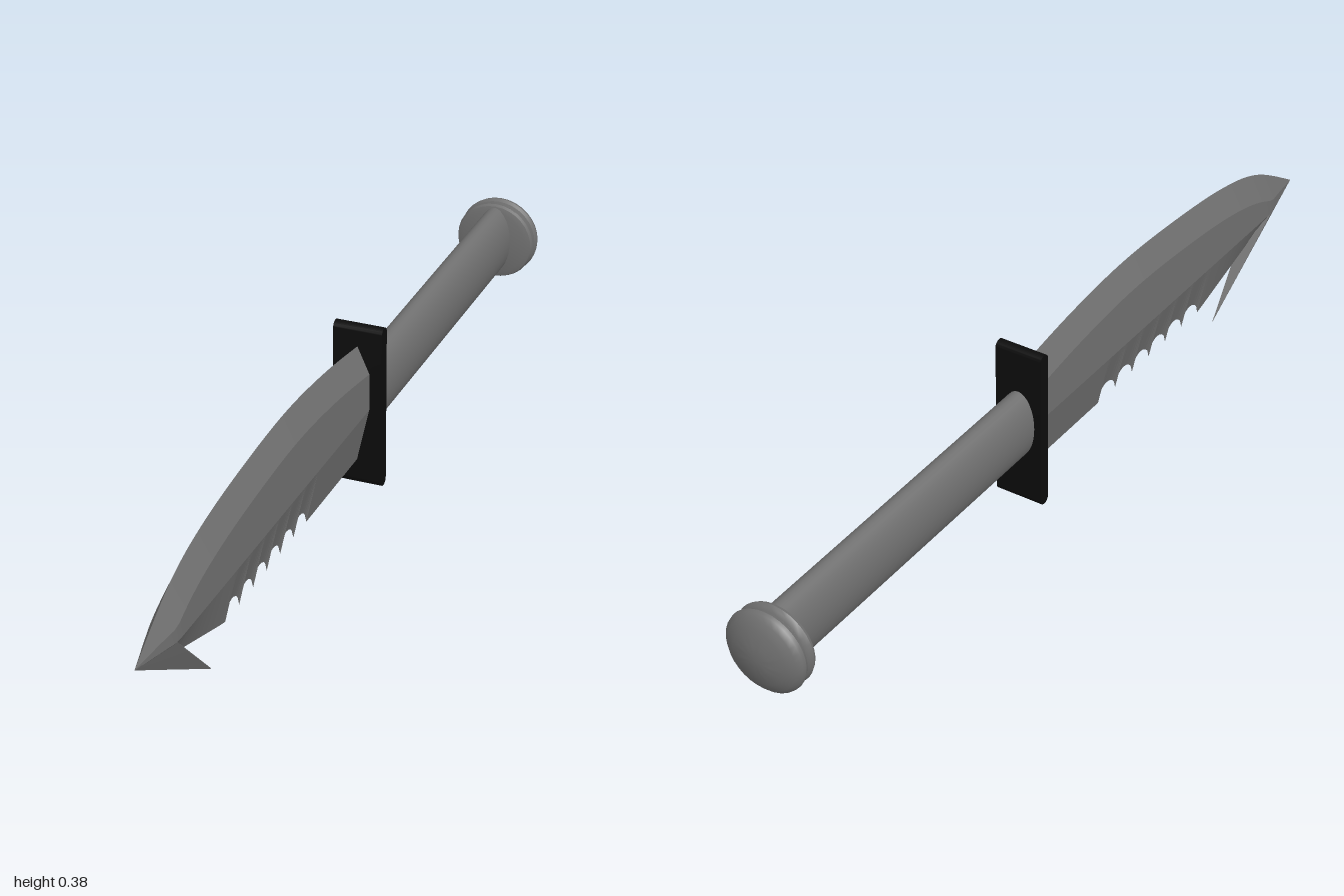
import * as THREE from 'three';
import { ConvexGeometry } from 'three/addons/geometries/ConvexGeometry.js';
import { toCreasedNormals } from 'three/addons/utils/BufferGeometryUtils.js';

const steel = new THREE.MeshStandardMaterial({ color: 0x707070 });
const black = new THREE.MeshStandardMaterial({ color: 0x0c0c0c });
const AXIS_Y = 0.197;

function addMesh(group, name, geometry, material) {
  const mesh = new THREE.Mesh(geometry, material);
  mesh.name = name;
  group.add(mesh);
  return mesh;
}

// Linear lookup of y along a list of points sorted by x
function sample(points, x) {
  for (let i = 1; i < points.length; i++) {
    const a = points[i - 1], b = points[i];
    if (x <= b.x) return a.y + (b.y - a.y) * (x - a.x) / (b.x - a.x);
  }
  return points[points.length - 1].y;
}

const toPoints = (list) => list.map(([x, y]) => new THREE.Vector2(x, y));

// Blade: six-sided cross-sections lofted along z, sharp at spine and edge
function bladeGeometry() {
  const spine = new THREE.SplineCurve(toPoints([
    [-0.1, 0.332], [0.08, 0.359], [0.27, 0.373], [0.46, 0.366],
    [0.68, 0.341], [0.84, 0.296], [1, 0.2],
  ])).getPoints(60);
  const edge = toPoints([[-0.1, 0.067], [0.6, 0.067], [0.81, 0.13], [1, 0.2]]);

  // Stations along z, closely spaced through the serrations
  const start = 0.19, count = 6, radius = 0.034;
  const stations = [];
  for (let i = 0; i < 8; i++) stations.push([-0.1 + 0.29 * i / 8, 0]);
  for (let n = 0; n < count; n++) {
    for (let i = 0; i < 10; i++) {
      const a = Math.PI * i / 10;
      stations.push([start + radius * (2 * n + 1 - Math.cos(a)), radius * Math.sin(a)]);
    }
  }
  const end = start + 2 * radius * count;
  for (let i = 0; i <= 20; i++) stations.push([end + (1 - end) * i / 20, 0]);

  const position = [], index = [];
  stations.forEach(([z, notch], k) => {
    const top = sample(spine, z);
    const bottom = sample(edge, z) + notch;
    const s = Math.min(1, (1 - z) / 0.13);
    const low = 0.2 - 0.01 * s;
    const high = Math.max(low, top - 0.06 * s);
    const full = 0.027 * s;
    position.push(0, top, z, -full, high, z, -full, low, z, 0, bottom, z, full, low, z, full, high, z);
    if (k === 0) return;
    for (let i = 0; i < 6; i++) {
      const a = (k - 1) * 6 + i, b = (k - 1) * 6 + (i + 1) % 6;
      index.push(a, b, b + 6, a, b + 6, a + 6);
    }
  });
  const geometry = new THREE.BufferGeometry();
  geometry.setAttribute('position', new THREE.Float32BufferAttribute(position, 3));
  geometry.setIndex(index);
  return toCreasedNormals(geometry, 0.12);
}

// Hooked barb sweeping back below the tip
function barbGeometry() {
  const points = [new THREE.Vector3(0, 0.2, 1), new THREE.Vector3(0, 0, 0.665)];
  for (const side of [-1, 1]) {
    points.push(new THREE.Vector3(side * 0.018, 0.13, 0.808));
    points.push(new THREE.Vector3(side * 0.026, 0.19, 0.87));
  }
  return new ConvexGeometry(points);
}

// Guard: plate with rounded upper and lower ends, extruded across x
function guardGeometry() {
  const half = 0.014, low = 0.008 + half, high = 0.38 - half;
  const shape = new THREE.Shape();
  shape.absarc(0, high, half, 0, Math.PI, false);
  shape.absarc(0, low, half, Math.PI, Math.PI * 2, false);
  shape.closePath();
  const geometry = new THREE.ExtrudeGeometry(shape, { depth: 0.108, bevelEnabled: false, curveSegments: 8 });
  geometry.translate(0, 0, -0.054).rotateY(Math.PI / 2);
  return toCreasedNormals(geometry, 0.6);
}

export function createModel() {
  const group = new THREE.Group();
  group.name = 'knife';

  addMesh(group, 'blade', bladeGeometry(), steel);
  addMesh(group, 'barb', barbGeometry(), steel);
  addMesh(group, 'guard', guardGeometry(), black).position.z = -0.101;

  // Oval grip
  const grip = new THREE.CylinderGeometry(1, 1, 0.84, 32);
  grip.rotateX(Math.PI / 2).scale(0.039, 0.079, 1);
  addMesh(group, 'grip', grip, steel).position.set(0, AXIS_Y + 0.003, -0.52);

  // Pommel: two rounded rims with a groove between, and a domed cap
  const profile = toPoints([
    [0, 0], [0.075, 0], [0.087, 0.004], [0.09, 0.011], [0.086, 0.018], [0.078, 0.022],
    [0.078, 0.026], [0.088, 0.03], [0.092, 0.038], [0.09, 0.046], [0.08, 0.055],
    [0.06, 0.064], [0.03, 0.072], [0, 0.075],
  ]);
  const pommel = toCreasedNormals(new THREE.LatheGeometry(profile, 32), 0.7);
  pommel.rotateX(-Math.PI / 2);
  addMesh(group, 'pommel', pommel, steel).position.set(0, AXIS_Y - 0.002, -0.925);

  return group;
}
